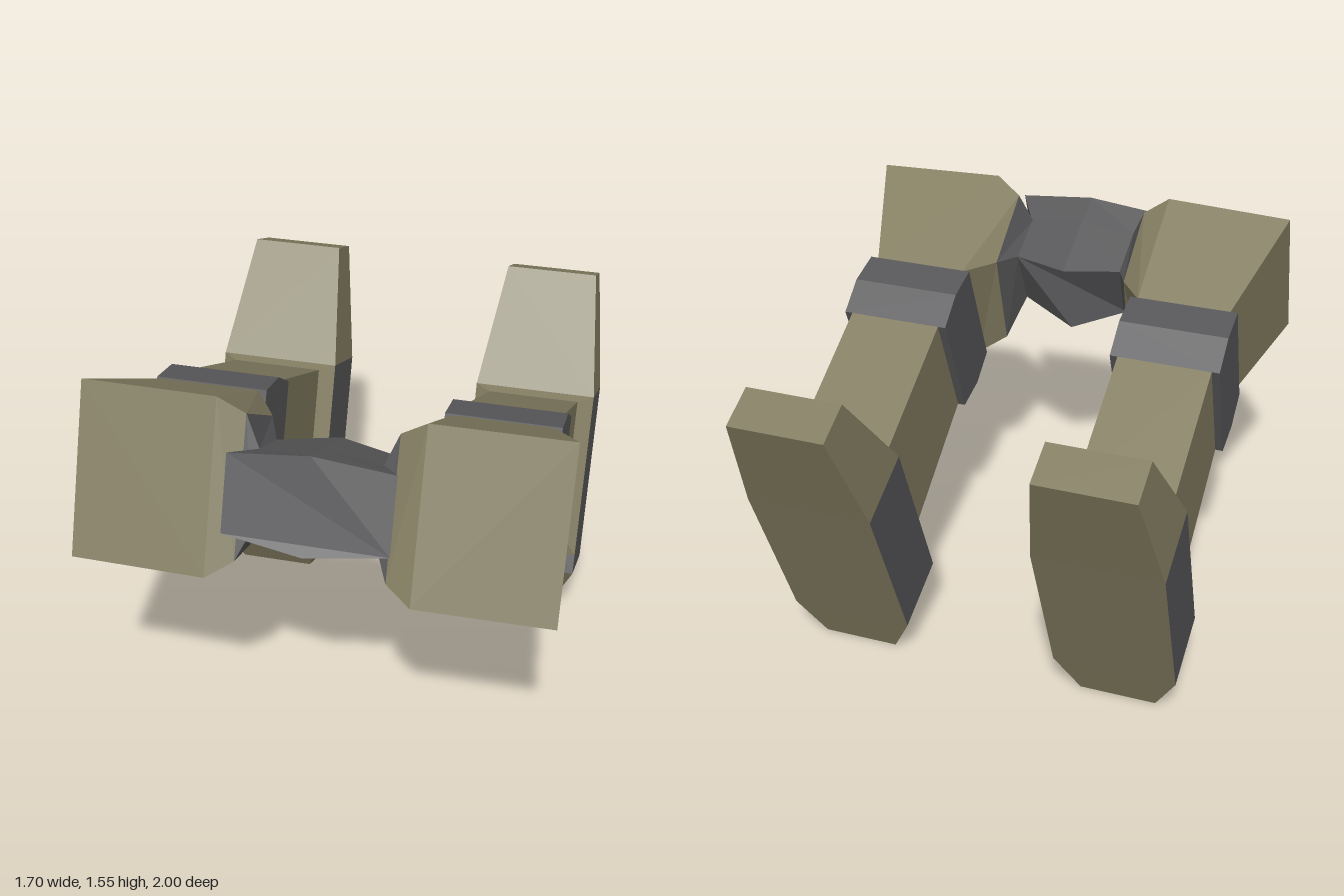
import * as THREE from 'three';

const olive = new THREE.MeshStandardMaterial({ color: 0x827c60 });
olive.name = 'olive armour';
const grey = new THREE.MeshStandardMaterial({ color: 0x58585a });
grey.name = 'dark grey metal';

// Closed faceted solid through matching loops of [x, y, z] points.
// pick(segment, side) returns 0 or 1: which material that face takes.
function loft(name, loops, materials, pick = () => 0) {
  const tris = [[], []];
  const n = loops[0].length;
  const add = (m, ...pts) => {
    for (let i = 1; i < pts.length - 1; i++) tris[m].push([pts[0], pts[i], pts[i + 1]]);
  };
  for (let s = 0; s < loops.length - 1; s++) {
    for (let k = 0; k < n; k++) {
      const j = (k + 1) % n;
      add(pick(s, k), loops[s][k], loops[s][j], loops[s + 1][j], loops[s + 1][k]);
    }
  }
  add(0, ...[...loops[0]].reverse());
  add(0, ...loops[loops.length - 1]);

  // Turn every face outward, whichever side the part is mirrored to
  let volume = 0;
  const v = (p) => new THREE.Vector3(...p);
  for (const [a, b, c] of tris.flat()) volume += v(a).dot(v(b).cross(v(c)));
  const all = tris.flat().map(([a, b, c]) => (volume < 0 ? [a, c, b] : [a, b, c]));

  const geo = new THREE.BufferGeometry();
  geo.setAttribute('position', new THREE.Float32BufferAttribute(all.flat(2), 3));
  geo.computeVertexNormals();
  if (materials.length > 1) {
    geo.addGroup(0, tris[0].length * 3, 0);
    geo.addGroup(tris[0].length * 3, tris[1].length * 3, 1);
  }
  const mesh = new THREE.Mesh(geo, materials.length > 1 ? materials : materials[0]);
  mesh.name = name;
  return mesh;
}

// Side profile of [z, y] points placed at one x
const profile = (x, pts) => pts.map(([z, y]) => [x, y, z]);

// Four-sided section from an upper and a lower [z, y] point and an x range
const section = (x0, x1, [z0, y0], [z1, y1]) => [
  [x1, y0, z0], [x0, y0, z0], [x0, y1, z1], [x1, y1, z1],
];

const hipSide = [[0.75, 1.37], [0.86, 1.12], [0.68, 1.05], [0.56, 1.29]];

function makeLeg(side) {
  const leg = new THREE.Group();
  leg.name = side > 0 ? 'leftLeg' : 'rightLeg';
  const part = (name, loops, mats, pick) => leg.add(loft(
    name, loops.map((l) => l.map(([x, y, z]) => [x * side, y, z])), mats, pick));

  // Thigh, flaring outward to the front
  const thighInner = [[0.74, 1.55], [0.98, 0.97], [0.49, 0.86], [0.3, 1.32]];
  const thighOuter = [[0.72, 1.54], [0.96, 0.96], [0.49, 0.86], [0.3, 1.32]];
  const outer = profile(0.85, thighOuter);
  outer[2][0] = outer[3][0] = 0.72;
  const panel = [[0.72, 1.485], [0.93, 1.02], [0.56, 0.91], [0.44, 1.31]];
  part('thigh', [outer, profile(0.36, thighInner), profile(0.265, panel)], [olive]);

  // Tapered joint reaching in to the hip block
  part('hipJoint', [profile(0.265, panel), profile(0.215, hipSide)], [grey]);

  // Knee band
  const band = [[0.3, 1.325], [0.15, 1.295], [0.03, 1.21], [0.22, 0.755], [0.37, 0.78], [0.49, 0.86]];
  part('kneeBand', [profile(0.33, band), profile(0.75, band)], [grey]);

  // Shin with a flared collar against the foot
  part('shin', [
    section(0.36, 0.72, [0.03, 1.21], [0.22, 0.755]),
    section(0.36, 0.72, [-0.49, 0.965], [-0.28, 0.455]),
    section(0.3, 0.78, [-0.53, 0.972], [-0.28, 0.36]),
  ], [olive]);

  // Foot: olive toe, heel and sole, grey around the middle
  part('foot', [
    section(0.39, 0.69, [-0.375, 0.035], [-0.455, 0]),
    section(0.3, 0.78, [-0.25, 0.285], [-0.53, 0.18]),
    section(0.3, 0.78, [-0.53, 0.972], [-0.81, 0.86]),
    section(0.36, 0.72, [-0.84, 1.36], [-1, 1.295]),
  ], [olive, grey], (s, k) => (s === 1 && k !== 2 ? 1 : 0));
  return leg;
}

// Hip block: six-sided, ridged along the middle
function makeHips() {
  const ring = (x, [tz, ty], [bz, by], [ctz, cty], [cbz, cby]) => [
    [x, ty, tz], [0, cty, ctz], [-x, ty, tz], [-x, by, bz], [0, cby, cbz], [x, by, bz],
  ];
  return loft('hipBlock', [
    ring(0.29, [0.87, 1.42], [0.975, 1.165], [0.87, 1.45], [1, 1.13]),
    ring(0.22, hipSide[0], hipSide[1], [0.74, 1.395], [0.87, 1.075]),
    ring(0.22, hipSide[3], hipSide[2], [0.49, 1.29], [0.62, 0.97]),
  ], [grey]);
}

export function createModel() {
  const model = new THREE.Group();
  model.name = 'mechanicalLegs';
  model.add(makeHips(), makeLeg(1), makeLeg(-1));
  return model;
}
